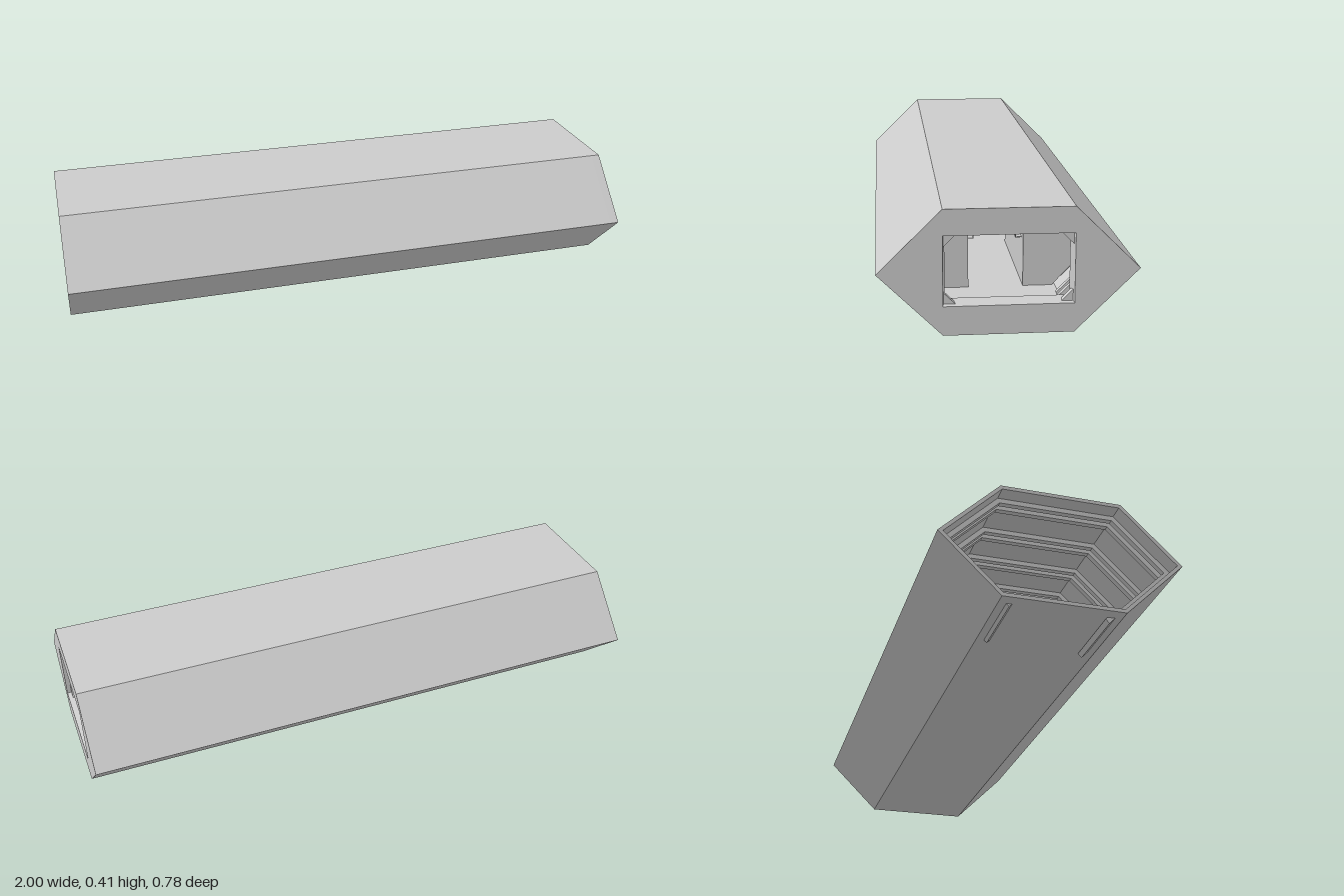
import * as THREE from 'three';

const grey = new THREE.MeshStandardMaterial({ color: 0xcccccc, flatShading: true, side: THREE.DoubleSide });
const MID = 0.2125;

// Hexagonal section as [z, y], inset by t from the outer skin
function hex(t) {
  const w = 0.195 - t * 0.414, tip = 0.39 - t * 1.414, h = 0.1925 - t;
  return [[w, MID + h], [tip, MID], [w, MID - h], [-w, MID - h], [-tip, MID], [-w, MID + h]];
}

const rect = (w, y0, y1) => [[w, y1], [w, y0], [-w, y0], [-w, y1]];

// Section in the z-y plane carried along x from x0 to x1
function prism(name, points, x0, x1, hole) {
  const toV = ([z, y]) => new THREE.Vector2(-z, y);
  const shape = new THREE.Shape(points.map(toV));
  if (hole) shape.holes.push(new THREE.Path(hole.map(toV)));
  const geo = new THREE.ExtrudeGeometry(shape, { depth: x1 - x0, bevelEnabled: false });
  geo.rotateY(Math.PI / 2).translate(x0, 0, 0);
  const mesh = new THREE.Mesh(geo, grey);
  mesh.name = name;
  return mesh;
}

function box(name, x0, x1, y0, y1, z0, z1) {
  const mesh = new THREE.Mesh(new THREE.BoxGeometry(x1 - x0, y1 - y0, Math.abs(z1 - z0)), grey);
  mesh.position.set((x0 + x1) / 2, (y0 + y1) / 2, (z0 + z1) / 2);
  mesh.name = name;
  return mesh;
}

// Tapered sleeve lining the doorway
function sleeve(outer, inner, x0, x1) {
  const pos = [], index = [];
  [[outer, x1], [inner, x0]].forEach(([loop, x]) => loop.forEach(([z, y]) => pos.push(x, y, z)));
  for (let i = 0; i < 4; i++) {
    const j = (i + 1) % 4;
    index.push(i, i + 4, j, j, i + 4, j + 4);
  }
  const geo = new THREE.BufferGeometry();
  geo.setAttribute('position', new THREE.Float32BufferAttribute(pos, 3));
  geo.setIndex(index);
  const flat = geo.toNonIndexed();
  flat.computeVertexNormals();
  const mesh = new THREE.Mesh(flat, grey);
  mesh.name = 'doorwaySleeve';
  return mesh;
}

export function createModel() {
  const model = new THREE.Group();
  model.name = 'hexagonalModule';

  // Outer hull, open at the -x end
  model.add(prism('hull', hex(0), -1, 0.97, hex(0.012)));

  // End wall with its doorway
  const doorway = rect(0.195, 0.11, 0.325);
  model.add(prism('endWall', hex(0), 0.97, 1, doorway));
  model.add(sleeve(doorway, rect(0.187, 0.119, 0.316), 0.95, 1));
  for (const sz of [1, -1]) {
    for (const [y, dir] of [[0.112, 1], [0.323, -1]]) {
      const corner = [[sz * 0.193, y], [sz * 0.157, y], [sz * 0.193, y + dir * 0.036]];
      model.add(prism('doorwayGusset', corner, 0.965, 0.985));
    }
  }

  // Flat floor
  const f = hex(0.012);
  model.add(prism('floor', [[0.197, 0.038], f[2], f[3], [-0.197, 0.038]], -0.99, 0.97));

  // Paired ribs over the side walls and ceiling
  const o = hex(0.012), n = hex(0.028);
  const arch = [o[2], o[1], o[0], o[5], o[4], o[3], n[3], n[4], n[5], n[0], n[1], n[2]];
  for (let i = 0; i < 12; i++) {
    const x = -0.95 + i * 0.166;
    model.add(prism('rib', arch, x, x + 0.018));
    model.add(prism('rib', arch, x + 0.036, x + 0.054));
  }

  // Side cabinets with grab rails, mirrored across the aisle
  for (const s of [1, -1]) {
    const section = [[s * 0.09, 0.038], [s * 0.09, 0.375], [s * 0.187, 0.375],
      [s * 0.35, MID], [s * 0.187, 0.038]];
    model.add(prism('cabinet', section, 0.1, 0.62));
    for (const x of [0.14, 0.32, 0.5]) {
      const rail = new THREE.Group();
      rail.name = 'grabRail';
      rail.add(box('railBar', x, x + 0.08, 0.192, 0.308, s * 0.069, s * 0.071));
      for (const y of [0.192, 0.306]) {
        rail.add(box('railReturn', x, x + 0.08, y, y + 0.002, s * 0.069, s * 0.09));
      }
      model.add(rail);
    }
  }

  // Two small skids under the open end
  model.add(prism('skid', [[0.174, 0.022], [0.153, 0], [0.141, 0.013], [0.15, 0.022]], -0.96, -0.72));
  model.add(prism('skid', [[-0.15, 0.022], [-0.161, 0.011], [-0.172, 0.022]], -0.96, -0.72));

  return model;
}
